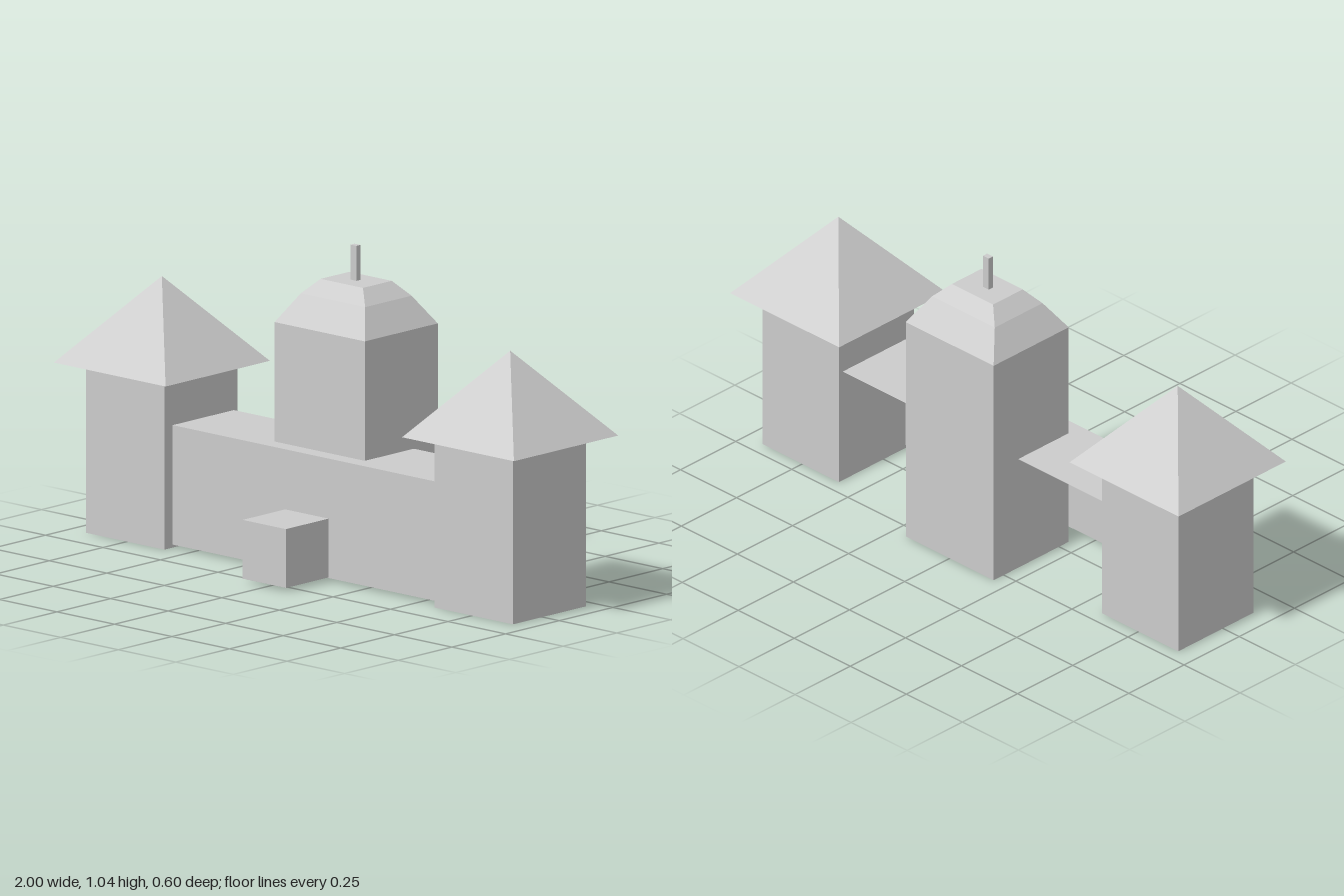
import * as THREE from 'three';

const material = new THREE.MeshStandardMaterial({
  color: 0xcccccc, flatShading: true, side: THREE.DoubleSide,
});

function addMesh(parent, name, geometry, x = 0, y = 0, z = 0) {
  const mesh = new THREE.Mesh(geometry, material);
  mesh.name = name;
  mesh.position.set(x, y, z);
  parent.add(mesh);
  return mesh;
}

// Skin through rectangular sections [y, halfWidth, halfDepth], with optional end caps
function rectLoft(sections, { bottom = false, top = false } = {}) {
  const positions = [];
  const rings = sections.map(([y, w, d]) => [[-w, y, d], [w, y, d], [w, y, -d], [-w, y, -d]]);
  const quad = (a, b, c, d) => positions.push(...a, ...b, ...c, ...a, ...c, ...d);
  for (let i = 0; i + 1 < rings.length; i++) {
    const lower = rings[i], upper = rings[i + 1];
    for (let k = 0; k < 4; k++) {
      const n = (k + 1) % 4;
      quad(lower[k], lower[n], upper[n], upper[k]);
    }
  }
  if (bottom) quad(...[...rings[0]].reverse());
  if (top) quad(...rings[rings.length - 1]);
  const geometry = new THREE.BufferGeometry();
  geometry.setAttribute('position', new THREE.Float32BufferAttribute(positions, 3));
  geometry.computeVertexNormals();
  return geometry;
}

export function createModel() {
  const model = new THREE.Group();
  model.name = 'building';

  // Corner towers: open-bottomed shafts under overhanging pyramid roofs
  for (const side of [-1, 1]) {
    const tower = new THREE.Group();
    tower.name = side > 0 ? 'leftTower' : 'rightTower';
    tower.position.set(side * 0.757, 0, -0.032);
    addMesh(tower, 'towerWalls', rectLoft([[0, 0.17, 0.17], [0.557, 0.17, 0.17]]));
    const roof = new THREE.ConeGeometry(0.243 * Math.SQRT2, 0.28, 4).rotateY(Math.PI / 4);
    addMesh(tower, 'towerRoof', roof, 0, 0.557 + 0.14, 0);
    model.add(tower);
  }

  // Connecting wing: a front wall and a flat roof, open at the back
  addMesh(model, 'wingFrontWall', new THREE.PlaneGeometry(1.32, 0.39), 0, 0.205, 0.1);
  addMesh(model, 'wingRoof', new THREE.PlaneGeometry(1.32, 0.285).rotateX(-Math.PI / 2), 0, 0.4, -0.0425);

  // Central tower with a stepped hipped dome and a mast
  const central = new THREE.Group();
  central.name = 'centralTower';
  central.position.set(0, 0, -0.126);
  addMesh(central, 'centralWalls', rectLoft([[0, 0.196, 0.17], [0.79, 0.196, 0.17]]));
  addMesh(central, 'domeRoof', rectLoft([
    [0.79, 0.196, 0.17], [0.882, 0.14, 0.108], [0.93, 0.092, 0.067],
  ], { top: true }));
  addMesh(central, 'mast', new THREE.BoxGeometry(0.026, 0.115, 0.019), -0.003, 0.9865, 0);
  model.add(central);

  // Entrance porch, open underneath and against the wall
  addMesh(model, 'porch', rectLoft([[0.012, 0.094, 0.1], [0.204, 0.094, 0.1]], { top: true }), -0.003, 0, 0.199);

  return model;
}
